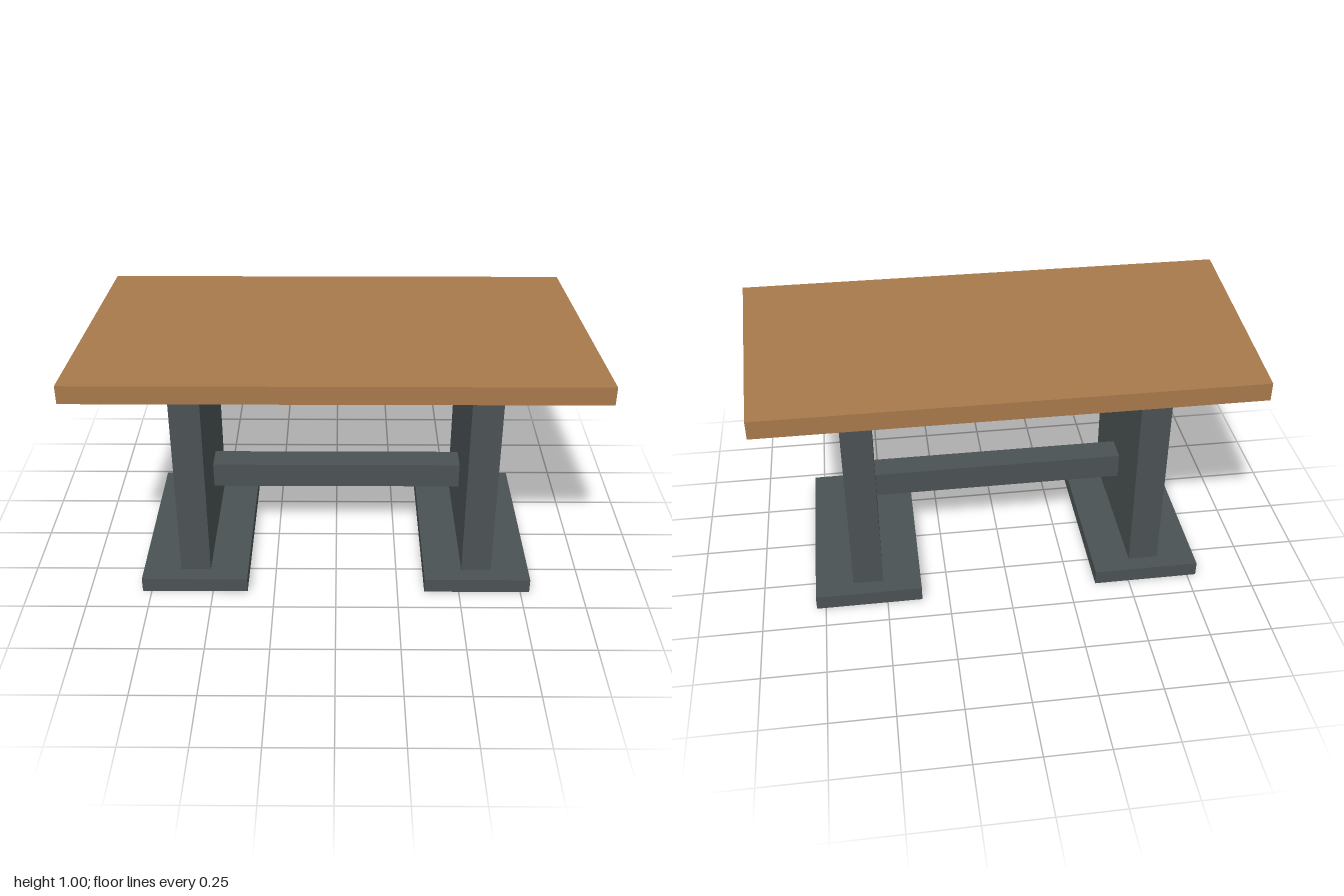
import * as THREE from 'three';

export function createModel() {
  const group = new THREE.Group();
  const wood = new THREE.MeshStandardMaterial({ color: 0xa87a4c });
  const metal = new THREE.MeshStandardMaterial({ color: 0x4b5254 });

  // box given by its centre x, bottom and top heights, width and depth
  function box(name, x, y0, y1, width, depth) {
    const mesh = new THREE.Mesh(new THREE.BoxGeometry(width, y1 - y0, depth), metal);
    mesh.name = name;
    mesh.position.set(x, (y0 + y1) / 2, 0);
    group.add(mesh);
  }

  // tapered tabletop, narrower at the back
  const outline = new THREE.Shape([
    new THREE.Vector2(-1, -0.5),
    new THREE.Vector2(1, -0.5),
    new THREE.Vector2(0.945, 0.5),
    new THREE.Vector2(-0.945, 0.5),
  ]);
  const topGeometry = new THREE.ExtrudeGeometry(outline, { depth: 0.073, bevelEnabled: false });
  topGeometry.rotateX(-Math.PI / 2);
  const top = new THREE.Mesh(topGeometry, wood);
  top.name = 'tabletop';
  top.position.y = 0.927;
  group.add(top);

  // a foot plate and a leg panel on each side
  for (const [side, s] of [['left', 1], ['right', -1]]) {
    box(side + 'Foot', s * 0.573, 0, 0.06, 0.427, 0.8);
    box(side + 'LegPanel', s * 0.573, 0.06, 0.927, 0.12, 0.667);
  }

  // stretchers between the leg panels
  box('lowerStretcher', 0, 0.285, 0.39, 1.026, 0.107);
  box('upperStretcher', 0, 0.75, 0.842, 1.026, 0.1);

  return group;
}
